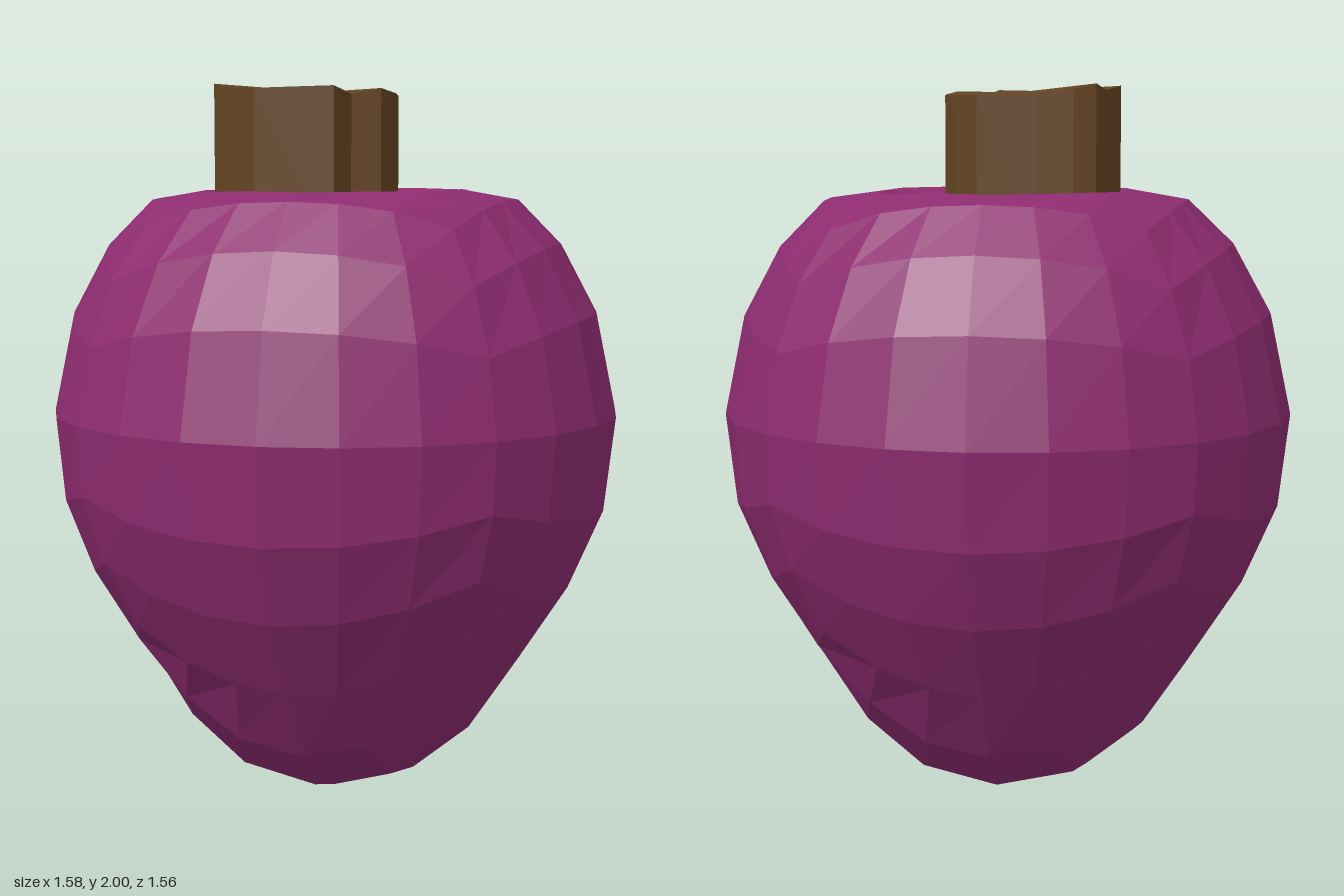
import * as THREE from 'three';

const material = (color) => new THREE.MeshStandardMaterial({ color, flatShading: true });

// Fruit: a cube rounded to even angles, then reshaped by a top-to-bottom profile
function createFruit() {
  const profile = new THREE.SplineCurve([
    [0, 1.61], [0.18, 1.635], [0.33, 1.71], [0.5, 1.69], [0.625, 1.57], [0.73, 1.38], [0.79, 1.1],
    [0.76, 0.84], [0.665, 0.62], [0.53, 0.41], [0.39, 0.2], [0.23, 0.07], [0, 0],
  ].map(([r, y]) => new THREE.Vector2(r, y)));

  const geometry = new THREE.BoxGeometry(2, 2, 2, 6, 6, 6);
  const position = geometry.attributes.position;
  const v = new THREE.Vector3();
  for (let i = 0; i < position.count; i++) {
    v.fromBufferAttribute(position, i);
    v.set(...v.toArray().map((c) => Math.tan(c * Math.PI / 4))).normalize();
    const angle = Math.acos(THREE.MathUtils.clamp(v.y, -1, 1));
    const p = profile.getPoint(angle / Math.PI);
    const around = Math.atan2(v.z, v.x);
    position.setXYZ(i, p.x * Math.cos(around), p.y, p.x * Math.sin(around) * 0.99);
  }
  geometry.computeVertexNormals();
  const fruit = new THREE.Mesh(geometry, material(0x8e2c70));
  fruit.name = 'fruit';
  return fruit;
}

// Stem: an irregular outline (x, z, top height) with straight sides and a fanned top
function createStem() {
  const outline = [
    [-0.26, -0.16, 2], [-0.2, -0.18, 1.985], [-0.1, -0.185, 1.975], [0.06, -0.18, 1.97],
    [0.13, -0.13, 1.97], [0.165, -0.06, 1.97], [0.175, 0.02, 1.975], [0.165, 0.15, 1.985],
    [0.09, 0.18, 1.97], [0.06, 0.25, 1.99], [-0.16, 0.25, 1.985], [-0.26, 0.2, 1.99],
    [-0.3, 0.16, 2], [-0.265, 0.04, 1.985], [-0.275, -0.05, 1.985],
  ];
  const bottom = 1.57;
  const n = outline.length;
  const vertices = [];
  const indices = [];
  for (const [x, z, top] of outline) vertices.push(x, top, z, x, bottom, z);
  vertices.push(-0.03, 1.98, 0.02, -0.03, bottom, 0.02);
  for (let i = 0; i < n; i++) {
    const a = 2 * i;
    const b = 2 * ((i + 1) % n);
    indices.push(a, b, a + 1, b, b + 1, a + 1); // side
    indices.push(2 * n, b, a); // top
    indices.push(2 * n + 1, a + 1, b + 1); // bottom
  }
  const geometry = new THREE.BufferGeometry();
  geometry.setAttribute('position', new THREE.Float32BufferAttribute(vertices, 3));
  geometry.setIndex(indices);
  geometry.computeVertexNormals();
  const stem = new THREE.Mesh(geometry, material(0x644422));
  stem.name = 'stem';
  return stem;
}

export function createModel() {
  const model = new THREE.Group();
  model.name = 'stemmedFruit';
  model.add(createFruit(), createStem());
  return model;
}
